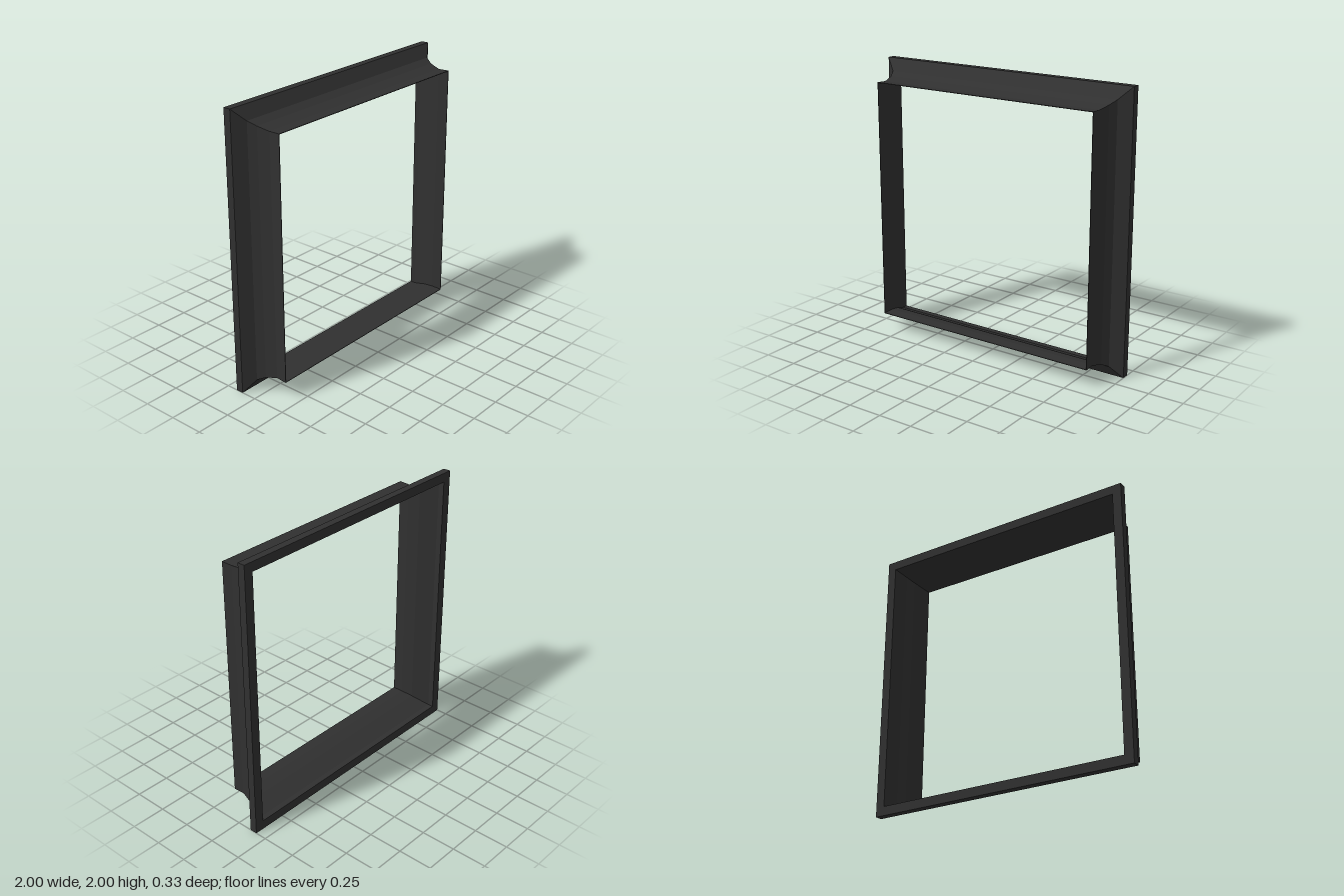
import * as THREE from 'three';

// Moulding cross-section as [half-size, z], running round the rail:
// outer face front to back, back flange, then inner face back to front
const PROFILE = [
  [0.871, 0.167], [0.868, 0.085], [0.888, 0], [0.916, -0.057], [1, -0.113], [1, -0.167],
  [0.934, -0.167], [0.934, -0.125], [0.907, -0.057], [0.882, 0], [0.864, 0.085], [0.867, 0.167],
];

// One mitred rail: every profile edge becomes a flat trapezoid
function railGeometry() {
  const pos = [];
  PROFILE.forEach(([h, z], i) => {
    const [k, w] = PROFILE[(i + 1) % PROFILE.length];
    const a = [-h, h, z], b = [h, h, z], c = [k, k, w], d = [-k, k, w];
    pos.push(...a, ...b, ...c, ...a, ...c, ...d);
  });
  const geo = new THREE.BufferGeometry();
  geo.setAttribute('position', new THREE.Float32BufferAttribute(pos, 3));
  geo.computeVertexNormals();
  return geo;
}

export function createModel() {
  const group = new THREE.Group();
  group.name = 'squareFrame';
  const charcoal = new THREE.MeshStandardMaterial({ color: 0x303030 });
  charcoal.name = 'charcoal';
  const geo = railGeometry();

  // Four equal rails turned about the centre of the opening
  ['topRail', 'rightRail', 'bottomRail', 'leftRail'].forEach((name, i) => {
    const rail = new THREE.Mesh(geo, charcoal);
    rail.name = name;
    rail.position.y = 1;
    rail.rotation.z = i * Math.PI / 2;
    group.add(rail);
  });
  return group;
}
